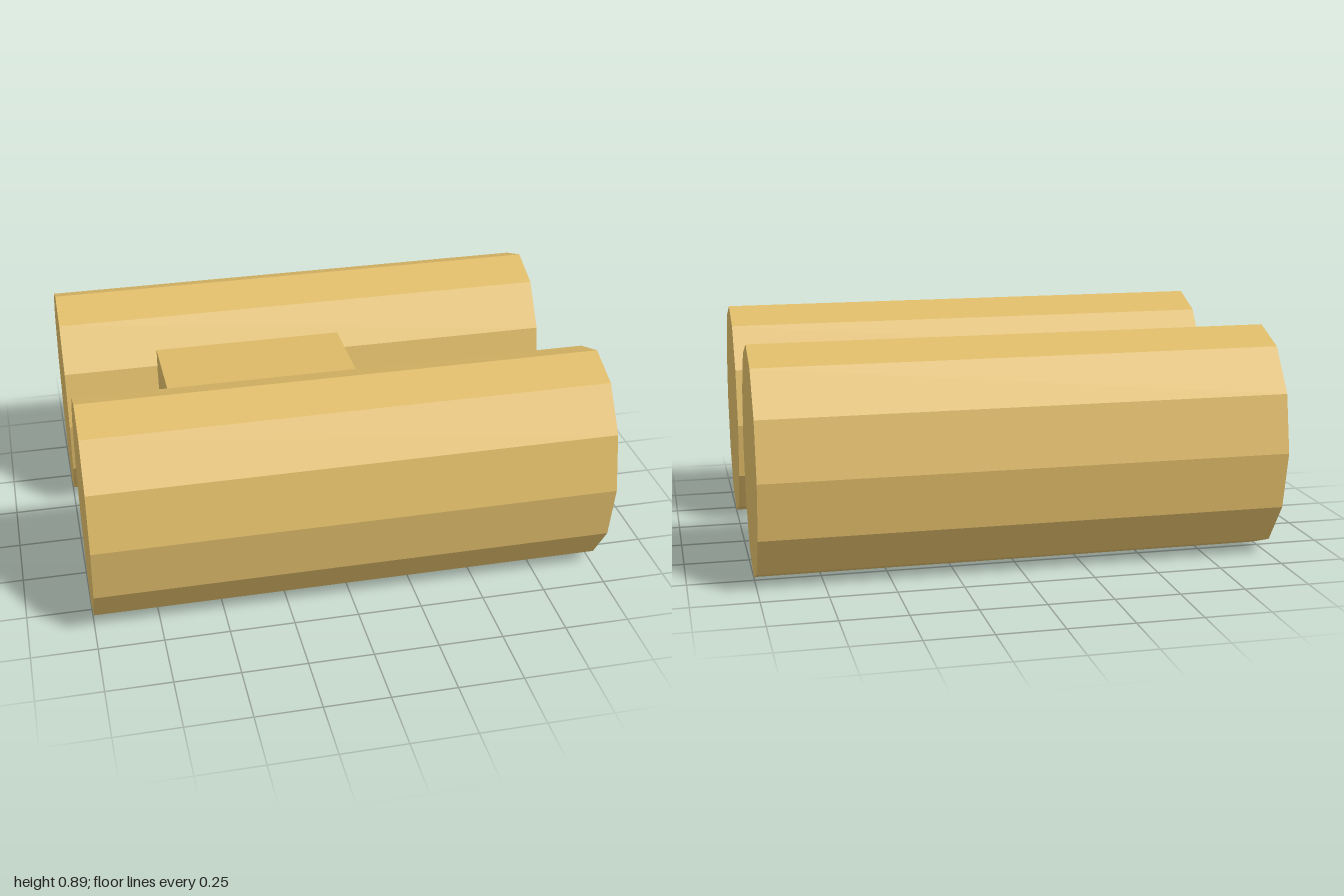
import * as THREE from 'three';

export function createModel() {
  const model = new THREE.Group();
  const tan = new THREE.MeshStandardMaterial({ color: 0xdcb968, flatShading: true });

  // Two parallel twelve-sided drums, slightly taller than they are deep
  const drumGeometry = new THREE.CylinderGeometry(1, 1, 2, 12)
    .rotateZ(Math.PI / 2)
    .scale(1, 0.444, 0.315);
  for (const [name, z] of [['frontDrum', 0.462], ['backDrum', -0.462]]) {
    const drum = new THREE.Mesh(drumGeometry, tan);
    drum.name = name;
    drum.position.set(0, 0.444, z);
    model.add(drum);
  }

  // Off-centre block joining the drums
  const block = new THREE.Mesh(new THREE.BoxGeometry(0.75, 0.59, 0.37), tan);
  block.name = 'connectingBlock';
  block.position.set(-0.25, 0.445, 0);
  model.add(block);

  return model;
}
